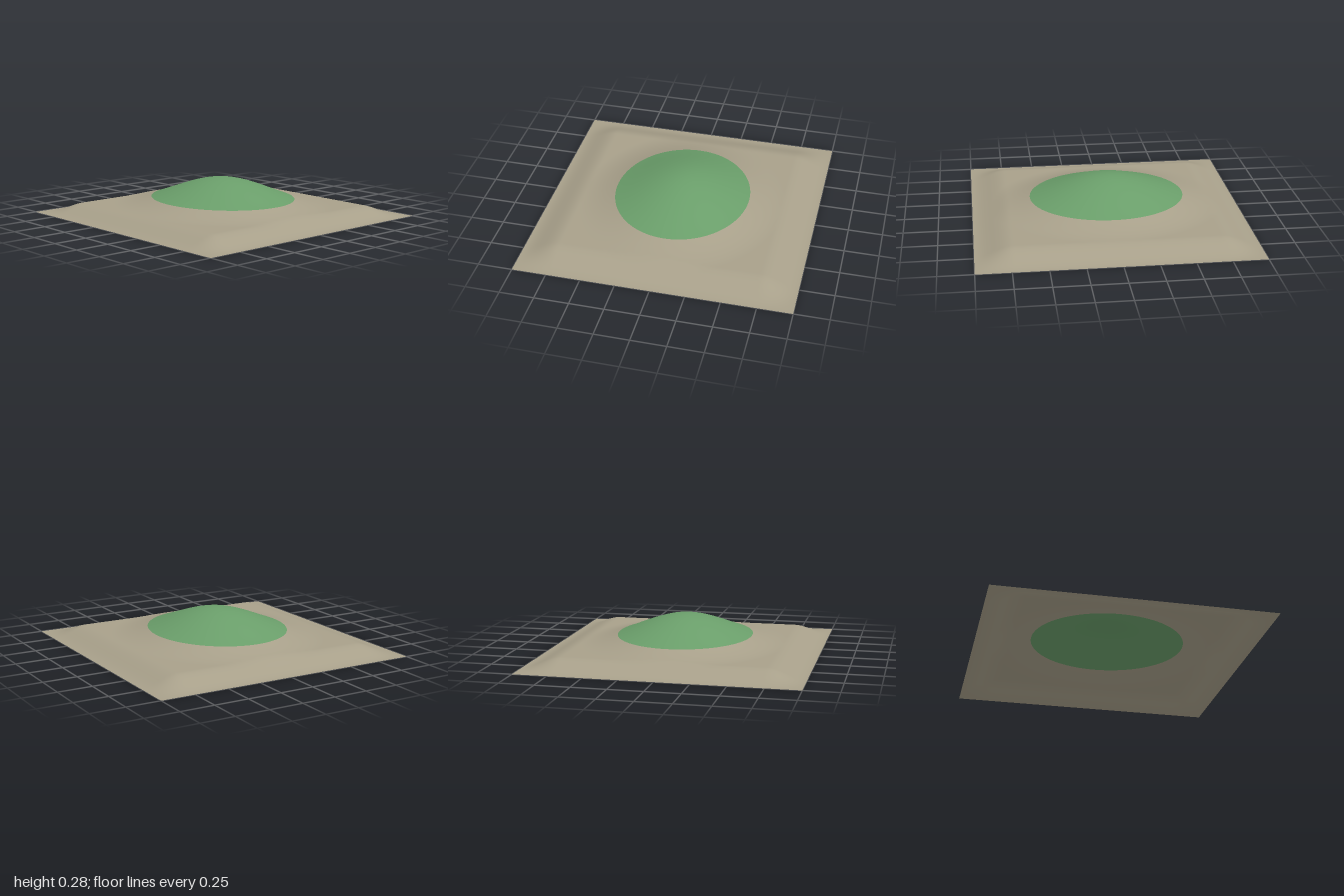
import * as THREE from 'three';

const RX = 0.87, RZ = 0.763; // footprint radii of the hill
const PLATEAU = 0.075, RISE = 0.205, GRASS = 0.657;
const SIDE = 48; // segments along each side of the square

// Ground height: a smooth oval hill on a low plateau that fades to zero at the border
function height(x, z) {
  const t = Math.hypot(x / RX, z / RZ);
  const hill = 1 - THREE.MathUtils.smoothstep(t, 0, 1);
  const fade = (v) => 1 - THREE.MathUtils.smoothstep(Math.abs(v), 0.73, 1);
  return (PLATEAU + RISE * hill) * fade(x) * fade(z);
}

// Points around the unit square, starting at one corner
function squareLoop() {
  const corners = [[1, 1], [1, -1], [-1, -1], [-1, 1]];
  const loop = [];
  corners.forEach(([ax, az], c) => {
    const [bx, bz] = corners[(c + 1) % 4];
    for (let i = 0; i < SIDE; i++) {
      const f = i / SIDE;
      loop.push([ax + (bx - ax) * f, az + (bz - az) * f]);
    }
  });
  loop.push(corners[0]);
  return loop;
}

// Surface between rings: s from 0 to 1 grows the oval, 1 to 2 blends it into the square
function terrain(name, rings, material) {
  const loop = squareLoop();
  const positions = [], normals = [], index = [];
  const e = 0.004;
  for (const s of rings) {
    for (const [qx, qz] of loop) {
      const oval = 1 / Math.hypot(qx / RX, qz / RZ);
      const k = s <= 1 ? oval * s : oval + (1 - oval) * (s - 1);
      const x = qx * k, z = qz * k;
      positions.push(x, height(x, z), z);
      const n = new THREE.Vector3(
        height(x - e, z) - height(x + e, z), 2 * e,
        height(x, z - e) - height(x, z + e)).normalize();
      normals.push(n.x, n.y, n.z);
    }
  }
  const w = loop.length;
  for (let r = 0; r < rings.length - 1; r++) {
    for (let i = 0; i < w - 1; i++) {
      const a = r * w + i, b = a + 1, c = a + w, d = c + 1;
      if (rings[r] > 0) index.push(a, d, b);
      index.push(a, c, d);
    }
  }
  const geometry = new THREE.BufferGeometry();
  geometry.setAttribute('position', new THREE.Float32BufferAttribute(positions, 3));
  geometry.setAttribute('normal', new THREE.Float32BufferAttribute(normals, 3));
  geometry.setIndex(index);
  const mesh = new THREE.Mesh(geometry, material);
  mesh.name = name;
  return mesh;
}

// Evenly spaced ring values
const steps = (from, to, n) => Array.from({ length: n + 1 }, (_, i) => from + (to - from) * i / n);

export function createModel() {
  const grass = new THREE.MeshStandardMaterial({ color: 0x6a9e6a, side: THREE.DoubleSide });
  grass.name = 'grass green';
  const earth = new THREE.MeshStandardMaterial({ color: 0xa8a08a, side: THREE.DoubleSide });
  earth.name = 'earth beige';

  const model = new THREE.Group();
  model.name = 'hill';
  model.add(
    terrain('grassyHilltop', steps(0, GRASS, 20), grass),
    terrain('earthGround', [...steps(GRASS, 1, 10), ...steps(1, 2, 24).slice(1)], earth));
  return model;
}
